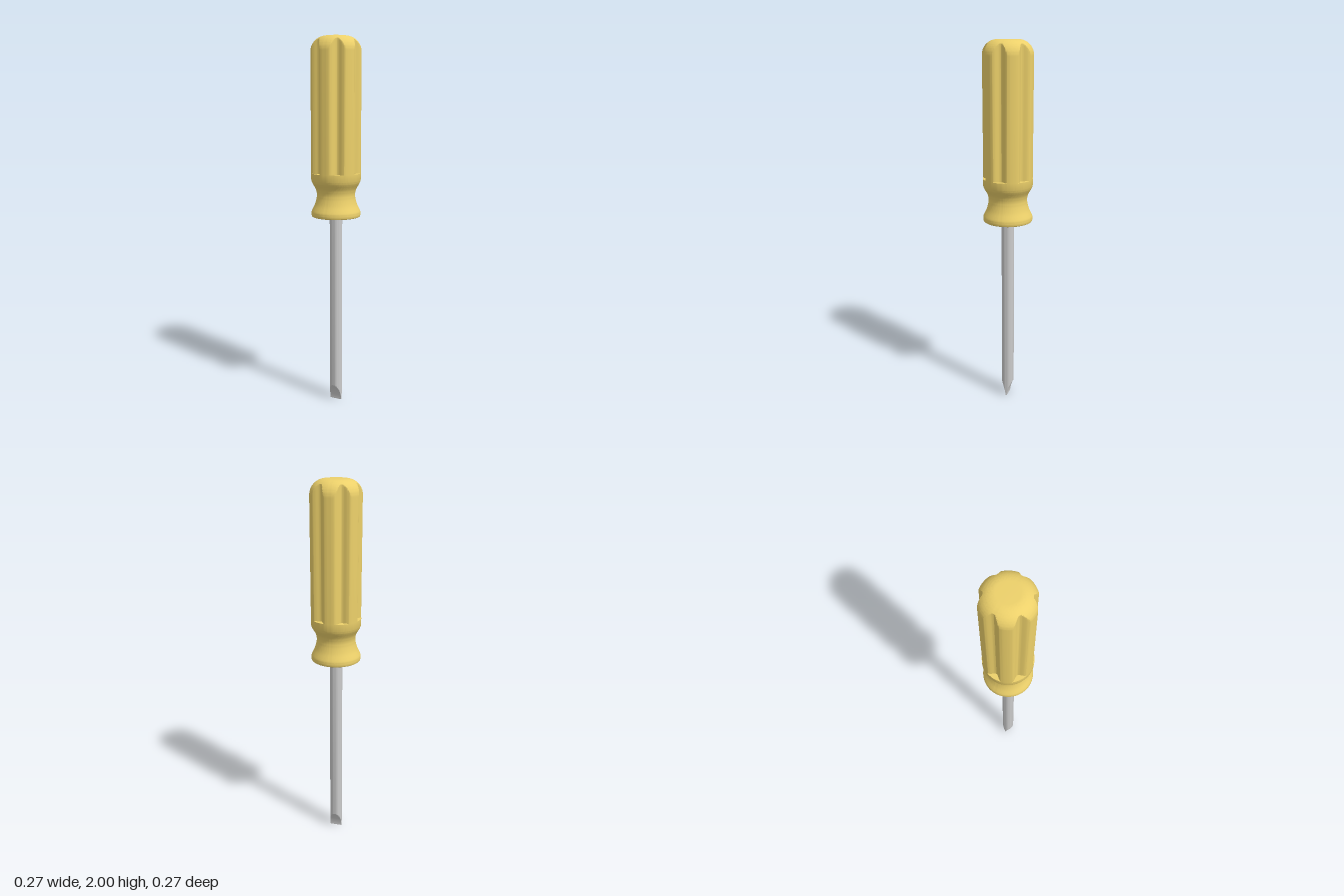
import * as THREE from 'three';
import { toCreasedNormals } from 'three/addons/utils/BufferGeometryUtils.js';

// Skin closed rings, listed from bottom to top; point(ring, angle) gives [x, y, z].
function loft(rings, segments, point, crease) {
  const pos = [], index = [];
  rings.forEach((ring, i) => {
    for (let j = 0; j < segments; j++) {
      pos.push(...point(ring, (j / segments) * Math.PI * 2));
      if (i === rings.length - 1) continue;
      const a = i * segments + j, b = i * segments + (j + 1) % segments;
      const c = a + segments, d = b + segments;
      index.push(a, c, b, b, c, d);
    }
  });
  const geo = new THREE.BufferGeometry();
  geo.setAttribute('position', new THREE.Float32BufferAttribute(pos, 3));
  geo.setIndex(index);
  return toCreasedNormals(geo, crease);
}

// Handle: turned collar, six-flute grip and rounded end
function handleGeometry() {
  const R = 0.133, depth = 0.029, halfAngle = Math.PI / 9, step = 1.29, round = 0.08;
  const rings = [{ y: 1.055, r: 0 }, { y: 1.055, r: 0.125 }, { y: 1.058, r: 0.130 }];
  const waist = new THREE.SplineCurve([
    [0.133, 1.066], [0.131, 1.085], [0.113, 1.125], [0.103, 1.17],
    [0.109, 1.205], [0.127, 1.237], [0.133, 1.255],
  ].map(([x, y]) => new THREE.Vector2(x, y)));
  waist.getPoints(30).forEach(p => rings.push({ y: p.y, r: p.x }));
  rings.push({ y: step, r: R }, { y: step, r: R, fluted: true });
  for (let i = 0; i <= 20; i++) {
    const t = (i / 20) * Math.PI / 2;
    rings.push({ y: 2 - round + round * Math.sin(t), r: R - round + round * Math.cos(t), fluted: true });
  }
  rings.push({ y: 2, r: 0 });

  // Radius left by the flutes at a given angle
  const flute = a => {
    const pitch = Math.PI / 3;
    const off = Math.abs(a - Math.round(a / pitch) * pitch);
    return off > halfAngle ? R : R - depth * (0.5 + 0.5 * Math.cos(Math.PI * off / halfAngle));
  };
  return loft(rings, 180, ({ y, r, fluted }, a) => {
    const q = fluted ? Math.min(r, flute(a)) : r;
    return [q * Math.cos(a), y, q * Math.sin(a)];
  }, 0.5);
}

// Shaft: round rod, hollow-ground on both faces into a flat blade
function shaftGeometry() {
  const R = 0.034, tipHeight = 0.09, edge = 0.003;
  const rings = [{ y: 0, r: 0, t: 0 }];
  for (let i = 0; i <= 18; i++) {
    const k = i / 18;
    rings.push({ y: tipHeight * k, r: R, t: edge + (R - edge) * Math.pow(k, 1.7) });
  }
  rings.push({ y: 1.07, r: R, t: R }, { y: 1.07, r: 0, t: R });
  return loft(rings, 96, ({ y, r, t }, a) => [
    r * Math.cos(a), y, THREE.MathUtils.clamp(r * Math.sin(a), -t, t),
  ], 0.45);
}

export function createModel() {
  const group = new THREE.Group();
  group.name = 'screwdriver';
  const add = (name, geometry, color) => {
    const mesh = new THREE.Mesh(geometry, new THREE.MeshStandardMaterial({ color }));
    mesh.name = name;
    group.add(mesh);
  };
  add('handle', handleGeometry(), 0xecd06a);
  add('shaft', shaftGeometry(), 0xcccccc);
  return group;
}
